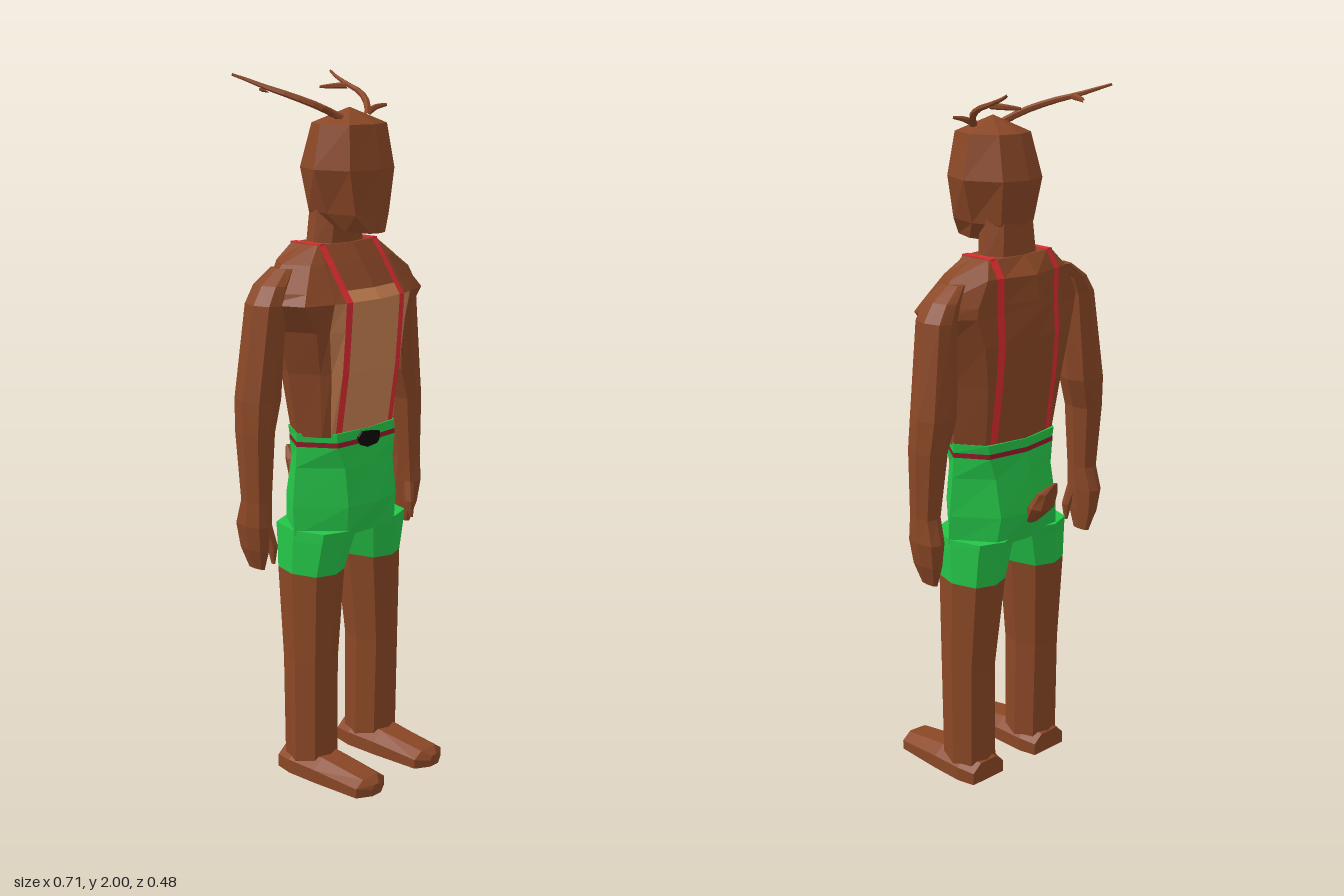
import * as THREE from 'three';

const paint = (name, color) => Object.assign(new THREE.MeshStandardMaterial({ color }), { name });

// Flat-faced loft through rings of [x, y, z], counter-clockwise about the loft direction.
// colourAt(row, column) picks a material; the ends are closed with fans.
function loft(name, rings, colourAt) {
  const n = rings[0].length, buckets = new Map();
  const tri = (mat, ...pts) => {
    if (!buckets.has(mat)) buckets.set(mat, []);
    pts.forEach(p => buckets.get(mat).push(...p));
  };
  for (let r = 0; r < rings.length - 1; r++) for (let c = 0; c < n; c++) {
    const d = (c + 1) % n, m = colourAt(r, c);
    tri(m, rings[r][c], rings[r][d], rings[r + 1][d]);
    tri(m, rings[r][c], rings[r + 1][d], rings[r + 1][c]);
  }
  const last = rings.length - 1;
  const centre = ring => [0, 1, 2].map(k => ring.reduce((s, p) => s + p[k], 0) / n);
  const lo = centre(rings[0]), hi = centre(rings[last]);
  for (let c = 0; c < n; c++) {
    const d = (c + 1) % n;
    tri(colourAt(0, n >> 2), rings[0][d], rings[0][c], lo);
    tri(colourAt(last - 1, n >> 2), rings[last][c], rings[last][d], hi);
  }
  const geo = new THREE.BufferGeometry(), all = [], mats = [...buckets.keys()];
  mats.forEach((m, i) => {
    geo.addGroup(all.length / 3, buckets.get(m).length / 3, i);
    for (const v of buckets.get(m)) all.push(v);
  });
  geo.setAttribute('position', new THREE.Float32BufferAttribute(all, 3));
  geo.computeVertexNormals();
  return named(name, geo, mats.length > 1 ? mats : mats[0]);
}

function named(name, geo, material) {
  const mesh = new THREE.Mesh(geo, material);
  mesh.name = name;
  return mesh;
}

// Half outline from front centre to back centre, completed on the other side
const symmetric = (y, half) => [
  ...half.map(([x, z]) => [x, y, z]),
  ...half.slice(1, -1).reverse().map(([x, z]) => [-x, y, z]),
];

// Eight-sided horizontal section
const OCT = [[0, 1], [0.72, 0.78], [1, 0], [0.72, -0.78], [0, -1], [-0.72, -0.78], [-1, 0], [-0.72, 0.78]];
const oct = (y, cx, w, cz, d) => OCT.map(([a, b]) => [cx + a * w, y, cz + b * d]);

// Mirrored copy in x, with triangle winding restored
function mirrored(mesh, name) {
  const geo = mesh.geometry.clone(), p = geo.attributes.position;
  const a = new THREE.Vector3(), b = new THREE.Vector3();
  for (let i = 0; i < p.count; i += 3) {
    a.fromBufferAttribute(p, i + 1);
    b.fromBufferAttribute(p, i + 2);
    p.setXYZ(i, -p.getX(i), p.getY(i), p.getZ(i));
    p.setXYZ(i + 1, -b.x, b.y, b.z);
    p.setXYZ(i + 2, -a.x, a.y, a.z);
  }
  geo.computeVertexNormals();
  return named(name, geo, mesh.material);
}

// Tube that narrows toward its tip
function horn(name, points, radius, tip, material) {
  const steps = 8, sides = 6;
  const curve = new THREE.CatmullRomCurve3(points.map(p => new THREE.Vector3(...p)));
  const geo = new THREE.TubeGeometry(curve, steps, radius, sides), p = geo.attributes.position;
  const v = new THREE.Vector3();
  for (let i = 0; i < p.count; i++) {
    const t = Math.floor(i / (sides + 1)) / steps, c = curve.getPointAt(t);
    v.fromBufferAttribute(p, i).sub(c).multiplyScalar(1 + (tip - 1) * t * t).add(c);
    p.setXYZ(i, v.x, v.y, v.z);
  }
  const flat = geo.toNonIndexed();
  flat.computeVertexNormals();
  return named(name, flat, material);
}

export function createModel() {
  const model = new THREE.Group();
  model.name = 'antleredFigure';
  const fur = paint('brown fur', 0x8a4726), green = paint('green shorts', 0x25c548);
  const red = paint('red strap', 0xdc2c30), tan = paint('tan chest', 0xc98152);
  const belt = paint('dark red belt', 0x961a2c), black = paint('black buckle', 0x0c0908);
  const allFur = () => fur;
  const pair = (part, mesh) => {
    mesh.name = `left${part}`;
    model.add(mesh, mirrored(mesh, `right${part}`));
  };

  // Torso: y, front z, tan edge x, corner x z, side x z, back corner x z, back z
  const torso = [
    [1.02, 0.087, 0.13, 0.15, 0.05, 0.18, -0.015, 0.13, -0.09, -0.115],
    [1.2, 0.115, 0.14, 0.16, 0.055, 0.2, -0.03, 0.145, -0.115, -0.14],
    [1.32, 0.125, 0.155, 0.185, 0.065, 0.23, -0.035, 0.165, -0.125, -0.157],
    [1.4, 0.13, 0.155, 0.24, 0.075, 0.285, -0.035, 0.19, -0.12, -0.165],
    [1.43, 0.108, 0.145, 0.22, 0.062, 0.275, -0.035, 0.185, -0.12, -0.163],
    [1.5, 0.06, 0.13, 0.17, 0.03, 0.21, -0.04, 0.15, -0.12, -0.155],
    [1.547, 0.025, 0.12, 0.124, 0.0, 0.13, -0.04, 0.122, -0.09, -0.105],
  ].map(([y, f, tx, cx, cz, sx, sz, bx, bz, b]) => {
    const s = f - 0.012, k = (tx - 0.118) / (cx - 0.118);
    return symmetric(y, [[0, f], [0.096, s], [0.118, s - 0.003], [tx, s + (cz - s) * k], [cx, cz], [sx, sz],
      [bx, bz], [0.118, bz - 0.003], [0.096, bz - 0.008], [0, b]]);
  });
  model.add(loft('torso', torso, (r, c) => {
    const h = c < 9 ? c : 17 - c;
    if (h === 1 || h === 7) return red;
    if ((h === 0 && r < 4) || (h === 2 && r < 3)) return tan;
    return fur;
  }));
  // Straps across the shoulder tops
  for (const s of [1, -1]) {
    const strap = named(s > 0 ? 'leftShoulderStrap' : 'rightShoulderStrap', new THREE.BoxGeometry(0.022, 0.006, 0.11), red);
    strap.position.set(0.107 * s, 1.547, -0.042);
    model.add(strap);
  }

  // Shorts: y, front z, corner x z, side x z, back corner x z, back z
  const hips = [
    [0.735, 0.1, 0.1, 0.098, 0.2, -0.01, 0.12, -0.12, -0.13],
    [0.82, 0.122, 0.1, 0.105, 0.2, -0.015, 0.11, -0.13, -0.153],
    [0.93, 0.106, 0.1, 0.092, 0.188, -0.015, 0.11, -0.108, -0.132],
    [0.99, 0.09, 0.12, 0.082, 0.183, -0.015, 0.125, -0.1, -0.12],
    [1.004, 0.09, 0.12, 0.081, 0.183, -0.015, 0.125, -0.1, -0.12],
    [1.03, 0.09, 0.12, 0.08, 0.183, -0.015, 0.13, -0.1, -0.12],
  ].map(([y, f, cx, cz, sx, sz, bx, bz, b]) => symmetric(y, [[0, f], [cx, cz], [sx, sz], [bx, bz], [0, b]]));
  model.add(loft('shorts', hips, r => (r === 3 ? belt : green)));

  // Irregular belt buckle
  const outline = [[-0.046, 0.01], [-0.036, -0.014], [-0.01, -0.024], [0.03, -0.02], [0.04, -0.01], [0.043, 0.013], [0.01, 0.02], [-0.03, 0.024]];
  const buckle = named('buckle', new THREE.ExtrudeGeometry(
    new THREE.Shape(outline.map(p => new THREE.Vector2(...p))), { depth: 0.009, bevelEnabled: false }), black);
  buckle.position.set(0, 1, 0.086);
  model.add(buckle);

  // Legs, covered by the shorts above the knee
  const legRings = [
    [0.02, 0.128, 0.068, -0.016, 0.075], [0.35, 0.131, 0.066, -0.015, 0.08], [0.62, 0.12, 0.08, -0.022, 0.097],
    [0.72, 0.107, 0.093, -0.016, 0.114], [0.75, 0.102, 0.097, -0.016, 0.12],
  ].map(r => oct(...r));
  pair('Leg', loft('leg', legRings, r => (r > 1 ? green : fur)));

  // Feet, lofted from heel to toe: z, half width, height
  const footRings = [[-0.095, 0.06, 0.06], [-0.04, 0.072, 0.068], [0.06, 0.07, 0.066], [0.215, 0.06, 0.046], [0.24, 0.018, 0.032]]
    .map(([z, w, h]) => [[1, 0], [1, 0.6], [0.5, 1], [-0.5, 1], [-1, 0.6], [-1, 0]].map(([a, b]) => [0.128 + a * w, b * h, z]));
  pair('Foot', loft('foot', footRings, allFur));

  // Arms with mitten hands and thumbs
  const armRings = [
    [0.66, 0.308, 0.01, -0.05, 0.03], [0.72, 0.315, 0.025, -0.05, 0.05], [0.79, 0.318, 0.034, -0.05, 0.058],
    [0.86, 0.315, 0.034, -0.042, 0.045], [1.05, 0.309, 0.045, -0.05, 0.057], [1.14, 0.292, 0.058, -0.055, 0.062],
    [1.4, 0.268, 0.045, -0.045, 0.06], [1.45, 0.245, 0.036, -0.045, 0.055], [1.49, 0.205, 0.02, -0.045, 0.04],
  ].map(r => oct(...r));
  pair('Arm', loft('arm', armRings, allFur));
  pair('Thumb', loft('thumb', [oct(0.68, 0.294, 0.004, 0, 0.006), oct(0.73, 0.292, 0.012, -0.005, 0.016),
    oct(0.79, 0.303, 0.014, -0.02, 0.02)], allFur));

  // Neck and faceted head
  model.add(loft('neck', [oct(1.53, 0, 0.088, -0.042, 0.062), oct(1.65, 0, 0.075, -0.035, 0.062)], allFur));
  const head = [
    [1.58, 0.13, 0.03, 0.12, 0.055, 0.05, 0.045, 0.0, -0.01],
    [1.63, 0.132, 0.068, 0.1, 0.085, 0.01, 0.062, -0.08, -0.1],
    [1.75, 0.132, 0.09, 0.1, 0.125, 0.0, 0.075, -0.1, -0.125],
    [1.87, 0.11, 0.075, 0.085, 0.1, 0.0, 0.06, -0.07, -0.09],
    [1.912, 0.016, 0.001, 0.016, 0.002, 0.015, 0.001, 0.014, 0.014],
  ].map(([y, f, fx, fz, sx, sz, bx, bz, b]) => symmetric(y, [[0, f], [fx, fz], [sx, sz], [bx, bz], [0, b]]));
  model.add(loft('head', head, allFur));

  // Antlers: swept beam, rear fork and brow tine
  pair('AntlerBeam', horn('beam', [[0.05, 1.885, 0.035], [0.095, 1.915, -0.005], [0.14, 1.945, -0.075],
    [0.16, 1.965, -0.145], [0.178, 1.985, -0.205], [0.195, 1.997, -0.238]], 0.01, 0.35, fur));
  pair('AntlerFork', horn('fork', [[0.156, 1.96, -0.135], [0.143, 1.958, -0.17], [0.118, 1.955, -0.208]], 0.009, 0.4, fur));
  pair('AntlerTine', horn('tine', [[0.07, 1.895, 0.02], [0.1, 1.908, 0.022], [0.13, 1.914, 0.034]], 0.009, 0.5, fur));

  // Upturned tail
  model.add(loft('tail', [oct(0.79, 0, 0.02, -0.14, 0.015), oct(0.84, 0, 0.037, -0.176, 0.034),
    oct(0.89, 0, 0.033, -0.203, 0.02), oct(0.922, 0, 0.008, -0.23, 0.005)], allFur));
  return model;
}
